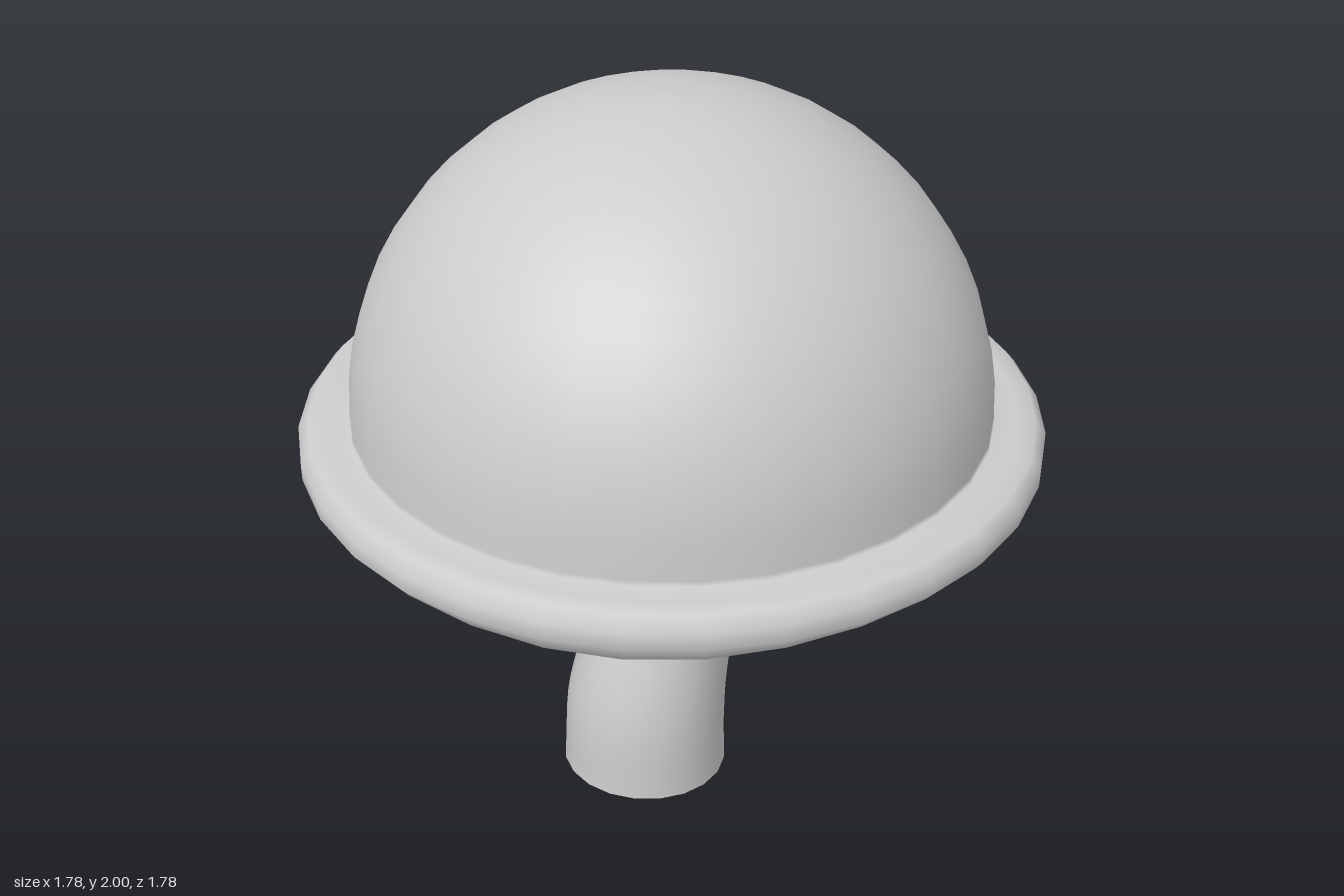
import * as THREE from 'three';

const grey = new THREE.MeshStandardMaterial({ color: 0xcccccc });
const greyBothSides = new THREE.MeshStandardMaterial({ color: 0xcccccc, side: THREE.DoubleSide });

function addMesh(group, name, geometry, material = grey) {
  const mesh = new THREE.Mesh(geometry, material);
  mesh.name = name;
  group.add(mesh);
  return mesh;
}

// Domed cap with a rolled rim, turned as one smooth surface
function capGeometry() {
  const domeRadius = 0.765, domeY = 1.235, steps = 14;
  const profile = [
    [0.8, 1.118], [0.81, 1.101], [0.84, 1.094], [0.875, 1.112], [0.89, 1.15],
    [0.89, 1.19], [0.865, 1.22], [0.82, 1.222], [0.768, 1.223],
  ].map(([r, y]) => new THREE.Vector2(r, y));
  for (let i = 0; i <= steps; i++) {
    const a = (i / steps) * Math.PI / 2;
    profile.push(new THREE.Vector2(domeRadius * Math.cos(a), domeY + domeRadius * Math.sin(a)));
  }
  profile[profile.length - 1].x = 0;
  const geometry = new THREE.LatheGeometry(profile, 32);

  // The lower lip rises gently between its four low points
  const pos = geometry.attributes.position;
  for (let i = 0; i < pos.count; i++) {
    const y = pos.getY(i);
    if (y > 1.114) continue;
    const angle = Math.atan2(pos.getX(i), pos.getZ(i));
    pos.setY(i, y + 0.01 * (1 - Math.cos(4 * angle)));
  }
  return geometry;
}

// Crooked, tapering stem, open at the bottom: [x, y, z, radius]
function stemGeometry() {
  const stations = [
    [-0.09, 0.01, -0.13, 0.22], [-0.085, 0.2, -0.142, 0.214], [-0.05, 0.4, -0.195, 0.194],
    [0.003, 0.57, -0.245, 0.165], [0.01, 0.65, -0.23, 0.15], [0.006, 0.735, -0.17, 0.142],
    [-0.002, 0.8, -0.09, 0.138], [-0.007, 0.87, -0.023, 0.135], [-0.01, 0.98, 0.008, 0.13],
    [0, 1.13, 0.018, 0.126],
  ];
  const curve = new THREE.CatmullRomCurve3(stations.map(([x, y, z]) => new THREE.Vector3(x, y, z)));
  const rings = 36, sides = 20;
  const geometry = new THREE.TubeGeometry(curve, rings, 1, sides, false);
  const pos = geometry.attributes.position;
  const point = new THREE.Vector3();
  for (let ring = 0; ring <= rings; ring++) {
    const u = ring / rings;
    const centre = curve.getPointAt(u);
    const t = curve.getUtoTmapping(u) * (stations.length - 1);
    const k = Math.min(Math.floor(t), stations.length - 2);
    const radius = THREE.MathUtils.lerp(stations[k][3], stations[k + 1][3], t - k);
    for (let j = 0; j <= sides; j++) {
      const index = ring * (sides + 1) + j;
      point.fromBufferAttribute(pos, index).sub(centre).multiplyScalar(radius).add(centre);
      pos.setXYZ(index, point.x, point.y, point.z);
    }
  }
  return geometry;
}

export function createModel() {
  const group = new THREE.Group();
  group.name = 'mushroom';

  addMesh(group, 'cap', capGeometry(), greyBothSides);

  // Flat underside closing the cap inside its lip
  const underside = addMesh(group, 'capUnderside', new THREE.CircleGeometry(0.802, 32));
  underside.rotation.x = Math.PI / 2;
  underside.position.y = 1.118;

  addMesh(group, 'stem', stemGeometry(), greyBothSides);
  return group;
}
